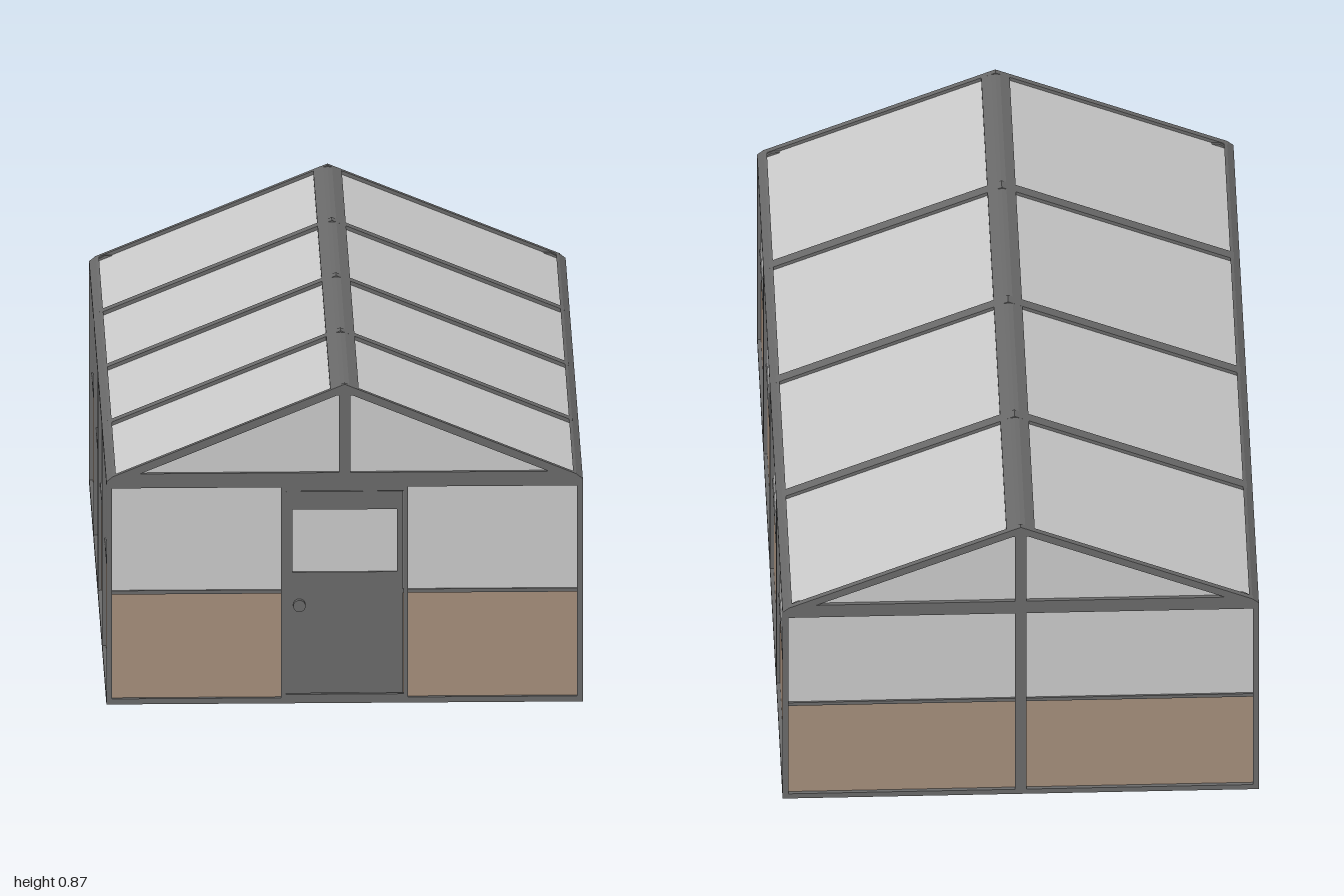
import * as THREE from 'three';

const glass = new THREE.MeshStandardMaterial({ color: 0xcccccc });
const frame = new THREE.MeshStandardMaterial({ color: 0x6b6b6b });
const wood = new THREE.MeshStandardMaterial({ color: 0xa68f7c });

const W = 0.62, ZF = 0.988, ZB = -1; // half width, front and back planes
const SILL = 0.015, MID = 0.302, EAVE = 0.59, INSET = 0.01, T = 0.01;
const roofY = (x) => 0.866 - 0.41 * Math.abs(x);

export function createModel() {
  const model = new THREE.Group();

  const add = (name, geometry, material, parent = model) => {
    const mesh = new THREE.Mesh(geometry, material);
    mesh.name = name;
    parent.add(mesh);
    return mesh;
  };
  // Box given by its limits
  const box = (name, material, x0, x1, y0, y1, z0, z1, parent) => {
    const g = new THREE.BoxGeometry(x1 - x0, y1 - y0, z1 - z0);
    g.translate((x0 + x1) / 2, (y0 + y1) / 2, (z0 + z1) / 2);
    return add(name, g, material, parent);
  };
  // Outline in x/y carried along z
  const prism = (name, material, pts, z0, z1, hole, parent) => {
    const shape = new THREE.Shape(pts.map(([x, y]) => new THREE.Vector2(x, y)));
    if (hole) shape.holes.push(new THREE.Path(hole.map(([x, y]) => new THREE.Vector2(x, y))));
    const g = new THREE.ExtrudeGeometry(shape, { depth: z1 - z0, bevelEnabled: false });
    g.translate(0, 0, z0);
    return add(name, g, material, parent);
  };
  const rect = (x0, x1, y0, y1) => [[x0, y0], [x1, y0], [x1, y1], [x0, y1]];
  // Sloping strip of one roof side, between two depths below the roof line
  const roofStrip = (name, material, s, x0, x1, top, bottom, z0, z1) =>
    prism(name, material, [
      [s * x0, roofY(x0) - bottom], [s * x1, roofY(x1) - bottom],
      [s * x1, roofY(x1) - top], [s * x0, roofY(x0) - top],
    ], z0, z1);

  // Base
  box('floor', frame, -W, W, 0, SILL, ZB, ZF);

  // Bay lines along the length
  const bays = [0, 1, 2, 3, 4].map((i) => ZB + (ZF - ZB) * i / 4);
  const span = (i) => [Math.max(ZB, bays[i] - 0.015), Math.min(ZF, bays[i] + 0.015)];

  for (const s of [-1, 1]) {
    const sideBox = (name, mat, a, b, y0, y1, z0, z1) =>
      box(name, mat, Math.min(s * a, s * b), Math.max(s * a, s * b), y0, y1, z0, z1);

    // Long walls
    sideBox('sideLowerPanel', wood, W - INSET - T, W - INSET, SILL, MID, ZB + INSET, ZF - INSET);
    sideBox('sideWindow', glass, W - INSET - T, W - INSET, MID, EAVE + 0.01, ZB + INSET, ZF - INSET);
    sideBox('sideMidRail', frame, W - INSET - T, W - INSET + 0.004, MID - 0.004, MID + 0.005, ZB + INSET, ZF - INSET);
    prism('eaveBeam', frame, [
      [s * 0.6, EAVE + 0.003], [s * W, EAVE + 0.003], [s * W, 0.605], [s * 0.603, roofY(0.603)], [s * 0.595, roofY(0.595)],
    ], ZB, ZF);

    // Posts and rafters on the bay lines
    bays.forEach((_, i) => {
      const [z0, z1] = span(i);
      sideBox('sidePost', frame, W - 0.015, W, 0, 0.605, z0, z1);
      roofStrip('rafter', frame, s, 0, 0.605, 0, 0.022, z0, z1);
    });

    // Roof panes and ridge
    roofStrip('roofPane', glass, s, 0, 0.605, 0.01, 0.018, ZB + INSET, ZF - INSET);
    prism('ridgeBeam', frame, [
      [0, 0.838], [s * 0.037, roofY(0.037) - 0.018], [s * 0.037, roofY(0.037)], [s * 0.012, 0.861], [0, 0.862],
    ], ZB, ZF);
  }

  // End walls: sign d faces outwards, plane z is the outer face
  for (const [d, z] of [[1, ZF], [-1, ZB]]) {
    const end = new THREE.Group();
    end.name = d > 0 ? 'frontWall' : 'backWall';
    model.add(end);
    const depth = (a, b) => [Math.min(z - d * a, z - d * b), Math.max(z - d * a, z - d * b)];
    const pane = depth(INSET, INSET + T), bar = depth(0, 0.022);
    const inner = d > 0 ? 0.15 : 0;

    for (const s of [-1, 1]) {
      const x0 = s > 0 ? inner : -W + INSET, x1 = s > 0 ? W - INSET : -inner;
      box('endLowerPanel', wood, x0, x1, SILL, MID, ...pane, end);
      box('endWindow', glass, x0, x1, MID, EAVE, ...pane, end);
      box('endMidRail', frame, x0, x1, MID - 0.005, MID + 0.005, ...depth(0.005, INSET + T), end);
      if (d > 0) box('doorPost', frame, s > 0 ? 0.153 : -0.165, s > 0 ? 0.165 : -0.153, 0, EAVE, ...bar, end);
    }
    // Tie beam, gable and centre post
    box('tieBeam', frame, -0.605, 0.605, 0.587, 0.613, ...bar, end);
    prism('tieBeamTop', frame, [[-0.605, 0.612], [0.605, 0.612], [0.58, 0.626], [-0.58, 0.626]], ...bar, null, end);
    prism('gablePane', glass, [[-0.58, 0.615], [0.58, 0.615], [0, 0.85]], ...pane, null, end);
    box('gablePost', frame, -0.015, 0.015, 0.615, 0.855, ...bar, end);
    if (d < 0) box('backPost', frame, -0.015, 0.015, 0, EAVE, ...bar, end);
  }

  // Door
  const door = new THREE.Group();
  door.name = 'door';
  model.add(door);
  box('doorThreshold', frame, -0.16, 0.16, 0, 0.024, ZF - 0.022, ZF, door);
  box('doorLintel', frame, -0.16, 0.16, 0.576, 0.59, ZF - 0.022, ZF, door);
  prism('doorLeaf', frame, rect(-0.152, 0.152, 0.026, 0.574), ZF - 0.02, ZF - 0.003, rect(-0.136, 0.136, 0.355, 0.525), door);
  box('doorWindow', glass, -0.14, 0.14, 0.35, 0.53, ZF - 0.016, ZF - 0.008, door);
  const knob = new THREE.CylinderGeometry(0.016, 0.016, 0.016, 24);
  knob.rotateX(Math.PI / 2);
  add('doorKnob', knob, frame, door).position.set(-0.118, 0.267, 0.992);

  return model;
}
